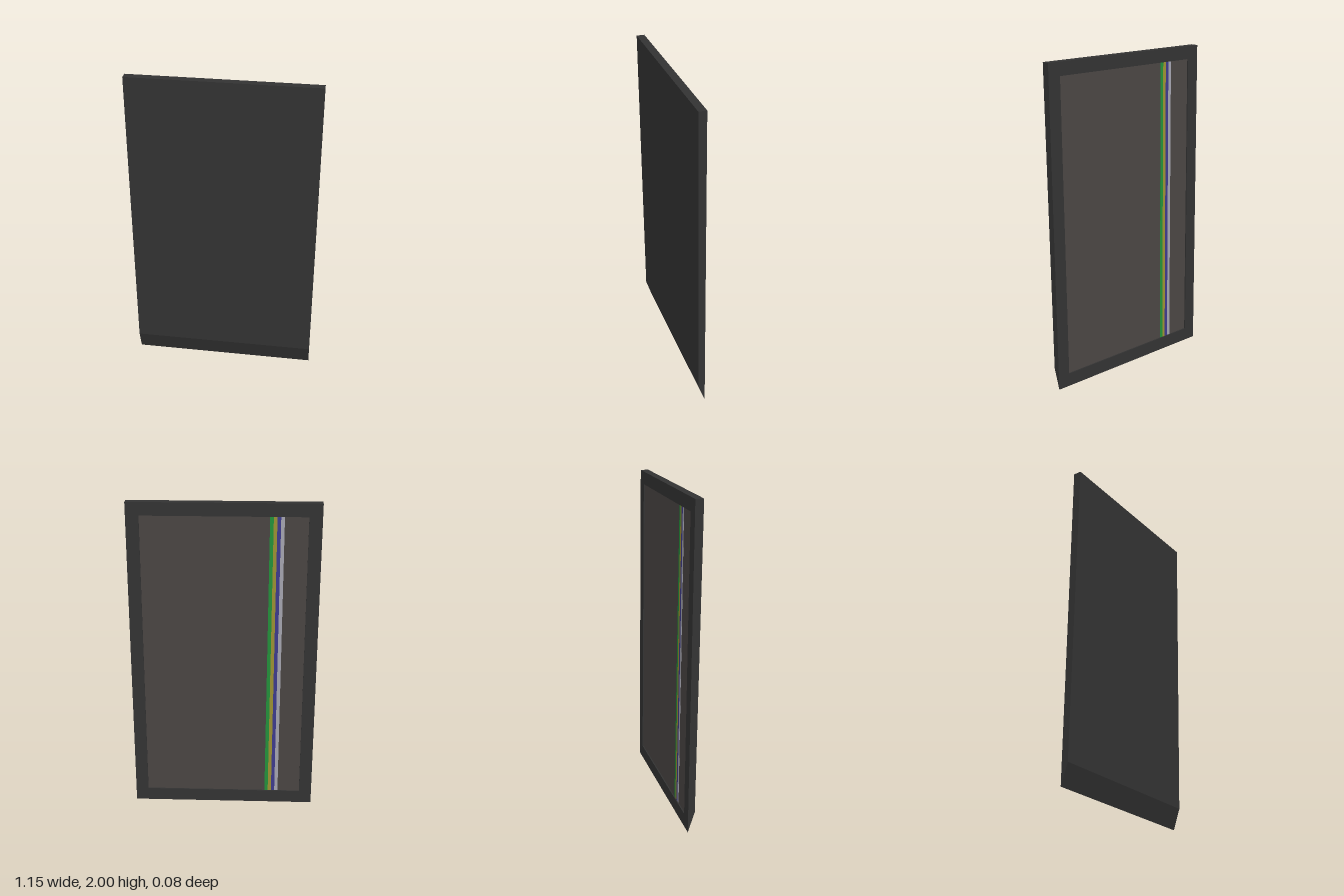
import * as THREE from 'three';

const HALF_W = 0.576, INNER_W = 0.497, LOW = 0.083, HIGH = 1.92, RECESS = 0.008;

// depth of the leaning back plane at a given height
const backZ = (y) => -0.038 + 0.0135 * y;

// extrudes a side profile of [z, y] points between two x positions
function slab(name, profile, x0, x1, color) {
  const shape = new THREE.Shape(profile.map(([z, y]) => new THREE.Vector2(z, y)));
  const geometry = new THREE.ExtrudeGeometry(shape, { depth: x1 - x0, bevelEnabled: false });
  geometry.rotateY(-Math.PI / 2).translate(x1, 0, 0);
  const mesh = new THREE.Mesh(geometry, new THREE.MeshStandardMaterial({ color }));
  mesh.name = name;
  return mesh;
}

// thin sheet lying on the recessed back plane
function sheet(name, x0, x1, proud, color) {
  const a = RECESS - proud, b = RECESS + 0.001;
  return slab(name, [
    [backZ(LOW) + a, LOW], [backZ(LOW) + b, LOW],
    [backZ(HIGH) + b, HIGH], [backZ(HIGH) + a, HIGH],
  ], x0, x1, color);
}

export function createModel() {
  const group = new THREE.Group();
  group.name = 'slantedPanel';
  const frameColor = 0x333333;

  // leaning outline with a chamfered foot at the front
  const front = [[backZ(0), 0], [0.005, 0.13], [0.038, 2], [backZ(2), 2]];

  // full-thickness side rails
  group.add(slab('rightRail', front, -HALF_W, -INNER_W, frameColor));
  group.add(slab('leftRail', front, INNER_W, HALF_W, frameColor));

  // middle body, notched at the back between the top and bottom bars
  group.add(slab('body', [
    ...front,
    [backZ(HIGH), HIGH], [backZ(HIGH) + RECESS, HIGH],
    [backZ(LOW) + RECESS, LOW], [backZ(LOW), LOW],
  ], -INNER_W, INNER_W, frameColor));

  // inset back panel
  group.add(sheet('backPanel', -INNER_W, INNER_W, 0.0006, 0x4a4543));

  // four coloured stripes side by side
  [['greyStripe', 0xa5a5b0], ['blueStripe', 0x3d3a8c], ['yellowStripe', 0x9c9133], ['greenStripe', 0x22913a]]
    .forEach(([name, color], i) => {
      const x = -0.356 + i * 0.0215;
      group.add(sheet(name, x, x + 0.0215, 0.0016, color));
    });

  return group;
}
